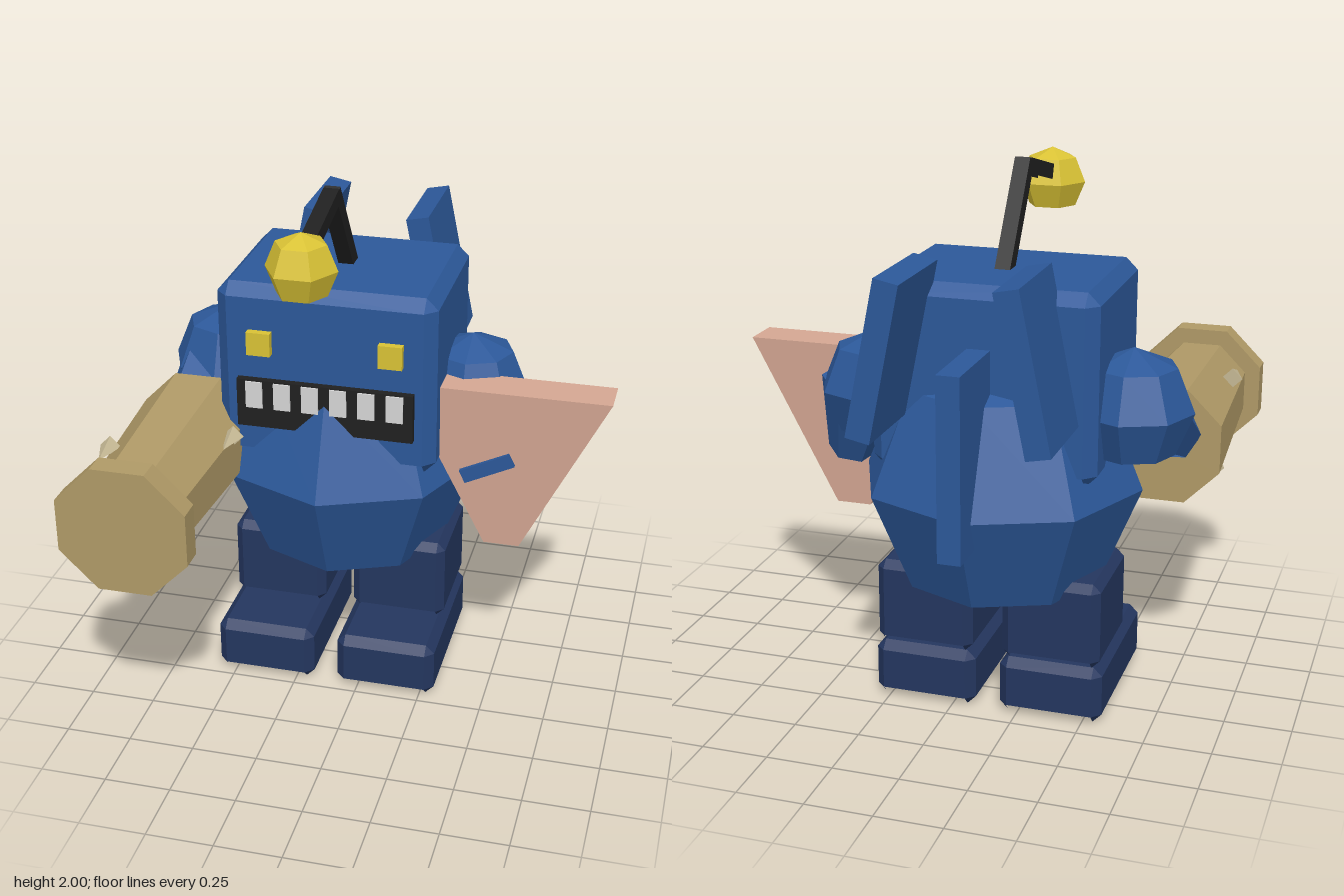
import * as THREE from 'three';
import { ConvexGeometry } from 'three/addons/geometries/ConvexGeometry.js';

const paint = (name, color) => {
  const m = new THREE.MeshStandardMaterial({ color, flatShading: true, side: THREE.DoubleSide });
  m.name = name;
  return m;
};

// Removes the faces that point down, leaving each shell open below
function openBelow(geometry) {
  const src = (geometry.index ? geometry.toNonIndexed() : geometry).attributes.position;
  const tri = new THREE.Triangle(), normal = new THREE.Vector3(), kept = [];
  for (let i = 0; i < src.count; i += 3) {
    tri.setFromAttributeAndIndices(src, i, i + 1, i + 2);
    if (tri.getNormal(normal).y > -0.65) kept.push(...tri.a, ...tri.b, ...tri.c);
  }
  const out = new THREE.BufferGeometry();
  out.setAttribute('position', new THREE.Float32BufferAttribute(kept, 3));
  out.computeVertexNormals();
  return out;
}

// Box with every edge cut at 45 degrees
function chamferBox(w, h, d, b) {
  const pts = [];
  for (const x of [-1, 1]) for (const y of [-1, 1]) for (const z of [-1, 1])
    for (const [i, j, k] of [[0, b, b], [b, 0, b], [b, b, 0]])
      pts.push(new THREE.Vector3(x * (w / 2 - i), y * (h / 2 - j), z * (d / 2 - k)));
  return new ConvexGeometry(pts);
}

export function createModel() {
  const model = new THREE.Group();
  const blue = paint('blue', 0x2c5899), navy = paint('navy', 0x24365f);
  const tan = paint('tan', 0xb09a67), pink = paint('pink', 0xd5a793);
  const yellow = paint('yellow', 0xd9c235), black = paint('black', 0x202020);
  const white = paint('white', 0xd6d6d6), bone = paint('bone', 0xc6b995);
  const midX = -0.13;

  function add(name, geometry, material, pos = [0, 0, 0], rot = [0, 0, 0]) {
    const o = new THREE.Object3D();
    o.position.set(...pos);
    o.rotation.set(...rot);
    o.updateMatrix();
    const mesh = new THREE.Mesh(openBelow(geometry.applyMatrix4(o.matrix)), material);
    mesh.name = name;
    model.add(mesh);
  }

  // Tapered rod between two points
  function rod(name, from, to, r0, r1, sides, material) {
    const a = new THREE.Vector3(...from), b = new THREE.Vector3(...to);
    const dir = b.clone().sub(a);
    const g = new THREE.CylinderGeometry(r1, r0, dir.length(), sides);
    if (sides === 4) g.rotateY(Math.PI / 4);
    g.applyQuaternion(new THREE.Quaternion().setFromUnitVectors(new THREE.Vector3(0, 1, 0), dir.normalize()));
    add(name, g, material, a.add(b).multiplyScalar(0.5).toArray());
  }

  // Body and head
  add('body', new THREE.SphereGeometry(0.53, 8, 4), blue, [midX, 0.86, -0.21]);
  add('head', chamferBox(0.83, 0.7, 0.65, 0.045), blue, [-0.135, 1.29, -0.175]);

  // Legs and feet
  for (const [side, x] of [['right', -0.375], ['left', 0.11]]) {
    add(side + 'Leg', chamferBox(0.37, 0.33, 0.42, 0.03), navy, [x, 0.385, -0.22]);
    add(side + 'Foot', chamferBox(0.39, 0.22, 0.65, 0.033), navy, [x, 0.11, -0.105]);
  }

  // Face
  for (const s of [-1, 1])
    add(s < 0 ? 'rightEye' : 'leftEye', new THREE.BoxGeometry(0.09, 0.09, 0.06), yellow, [midX + s * 0.248, 1.425, 0.15]);
  add('mouth', new THREE.BoxGeometry(0.67, 0.19, 0.06), black, [midX, 1.185, 0.148]);
  for (let i = 0; i < 6; i++)
    add('tooth', new THREE.BoxGeometry(0.064, 0.105, 0.03), white, [midX + (i - 2.5) * 0.107, 1.222, 0.17]);

  // Lure on a bent stalk
  rod('lowerStalk', [midX, 1.6, -0.215], [midX, 1.985, 0.05], 0.041, 0.041, 4, black);
  rod('upperStalk', [midX, 1.97, 0.035], [midX, 1.88, 0.41], 0.041, 0.041, 4, black);
  add('lure', new THREE.SphereGeometry(0.13, 6, 4), yellow, [midX, 1.845, 0.435]);

  // Back fins
  for (const s of [-1, 1])
    add('sideFin', new THREE.BoxGeometry(0.09, 0.57, 0.39), blue, [midX + s * 0.26, 1.447, -0.655], [0, 0, s * 0.2]);
  add('middleFin', new THREE.BoxGeometry(0.085, 0.67, 0.35), blue, [midX, 1.085, -0.655]);

  // Arms
  add('leftShoulder', new THREE.SphereGeometry(0.22, 8, 4), blue, [0.35, 1.165, -0.215]);
  rod('leftForearm', [0.42, 1.16, -0.19], [0.5, 0.87, -0.13], 0.16, 0.09, 6, blue);
  rod('leftThumb', [0.37, 0.91, 0.03], [0.555, 1.0, 0.03], 0.038, 0.038, 4, blue);
  add('rightShoulder', new THREE.SphereGeometry(0.225, 8, 4), blue, [-0.62, 1.175, -0.235]);
  rod('rightForearm', [-0.65, 1.16, -0.2], [-0.73, 1.0, 0.03], 0.17, 0.1, 6, blue);

  // Cleaver blade: a tapered four-sided slab
  const blade = [];
  for (const [y, hw, z0, z1] of [[1.27, 0.392, -0.1, 0.055], [0.62, 0.068, -0.068, 0.022]])
    for (const s of [-1, 1]) for (const z of [z0, z1]) blade.push(new THREE.Vector3(0.523 + s * hw, y, z));
  add('blade', new ConvexGeometry(blade), pink);

  // Eight-sided club with a wider end and spikes
  const club = (name, front, back, z0, z1) => add(name,
    new THREE.CylinderGeometry(front, back, z1 - z0, 8).rotateY(Math.PI / 8).rotateX(Math.PI / 2),
    tan, [-0.68, 0.967, (z0 + z1) / 2]);
  club('clubShaft', 0.195, 0.238, 0, 0.765);
  club('clubEnd', 0.26, 0.26, 0.76, 0.85);
  for (const [x, y, z] of [[-0.472, 1.06, 0.275], [-0.855, 1.1, 0.535], [-0.82, 0.77, 0.415]])
    add('spike', new THREE.ConeGeometry(0.04, 0.12, 4), bone, [x, y, z], [Math.PI / 2, 0, 0]);

  return model;
}
